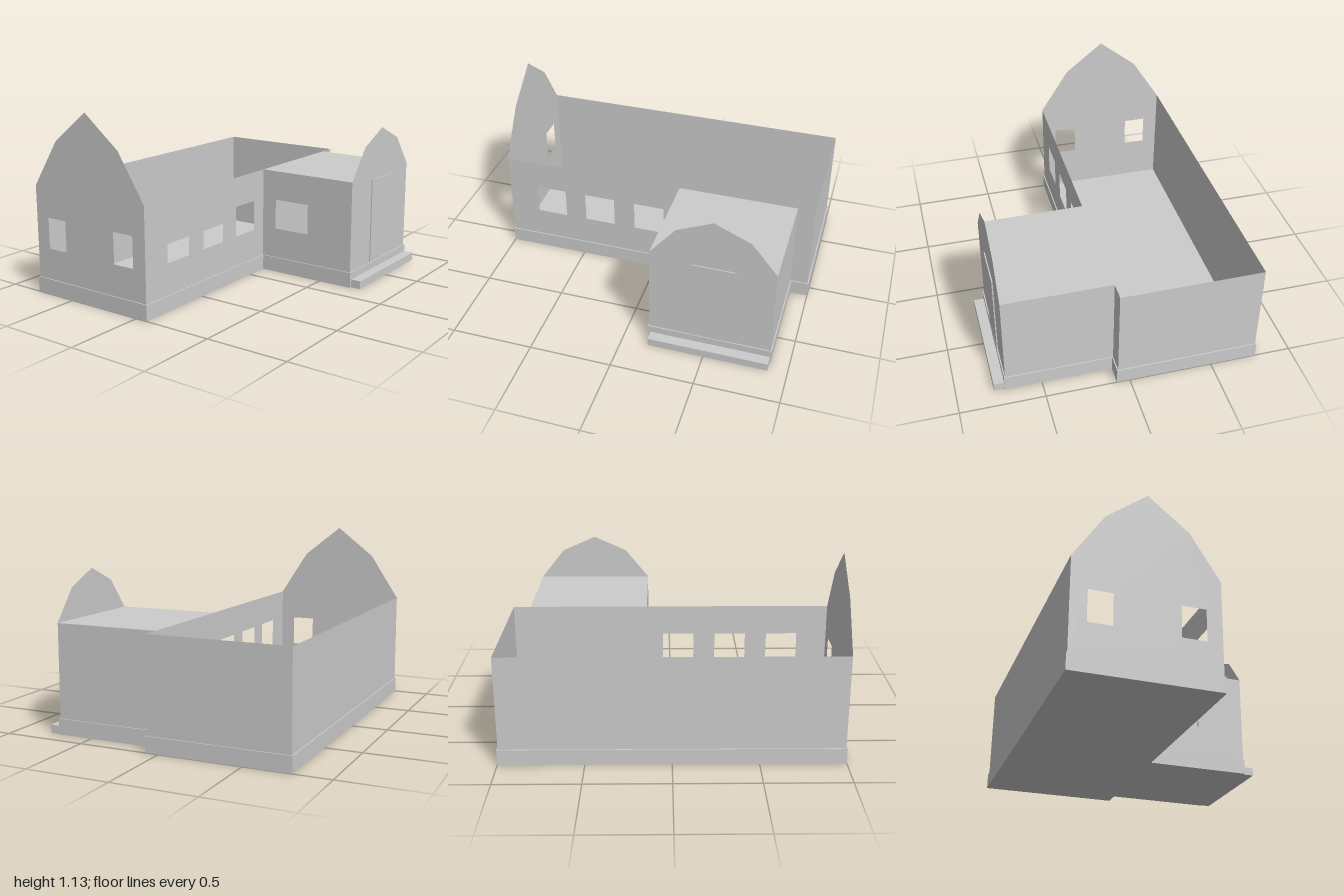
import * as THREE from 'three';

const BASE = 0.095, EAVES = 0.66;
const material = new THREE.MeshStandardMaterial({ color: 0xcccccc, flatShading: true, side: THREE.DoubleSide });

const toShape = (pts) => new THREE.Shape(pts.map(([a, b]) => new THREE.Vector2(a, b)));

export function createModel() {
  const group = new THREE.Group();
  group.name = 'roofless house';

  const add = (name, geometry) => {
    const mesh = new THREE.Mesh(geometry, material);
    mesh.name = name;
    group.add(mesh);
    return mesh;
  };

  // Thin upright wall from a to b, optional gable points (from b back to a) and window openings [a0, a1]
  const wall = (name, a, b, { gable = [], windows = [], x, z }) => {
    const shape = toShape([[a, BASE], [b, BASE], [b, EAVES], ...gable, [a, EAVES]]);
    for (const [w0, w1] of windows) {
      shape.holes.push(toShape([[w0, 0.285], [w0, 0.475], [w1, 0.475], [w1, 0.285]]));
    }
    const geometry = new THREE.ShapeGeometry(shape);
    if (x !== undefined) geometry.rotateY(-Math.PI / 2).translate(x, 0, 0);
    else geometry.translate(0, 0, z);
    return add(name, geometry);
  };

  // Horizontal slab standing on y = 0 from a plan outline in x, z
  const slab = (name, shape, height) =>
    add(name, new THREE.ExtrudeGeometry(shape, { depth: height, bevelEnabled: false })
      .rotateX(Math.PI / 2).translate(0, height, 0));

  // L-shaped plan, grown outwards by d
  const plan = (d) => [
    [-0.775 - d, -0.993 - d], [0.071 + d, -0.993 - d], [0.071 + d, -0.885 - d], [0.713 + d, -0.885 - d],
    [0.713 + d, -0.152 + d], [0.071 + d, -0.152 + d], [0.071 + d, 0.993 + d], [-0.775 - d, 0.993 + d],
  ];

  // Foundation: floor and plinth ring
  slab('floor', toShape(plan(0)), 0.005);
  const ring = toShape(plan(0.007));
  ring.holes.push(toShape(plan(0)));
  slab('plinth', ring, BASE);

  // Main hall, open at the top
  wall('hallFrontWall', -0.775, 0.071, {
    z: 0.993,
    gable: [[-0.11, 0.94], [-0.352, 1.13], [-0.592, 0.94]],
    windows: [[-0.68, -0.54], [-0.163, -0.02]],
  });
  wall('hallBackWall', -0.775, 0.071, { z: -0.993 });
  wall('hallRightWall', -0.993, 0.993, { x: -0.775 });
  wall('hallLeftWall', -0.993, 0.993, {
    x: 0.071,
    windows: [[0.61, 0.805], [0.28, 0.475], [-0.05, 0.145]],
  });

  // Side wing with a flat ceiling and an end gable
  wall('wingFrontWall', 0.071, 0.713, { z: -0.152, windows: [[0.167, 0.405]] });
  wall('wingBackWall', 0.071, 0.713, { z: -0.885 });
  wall('wingGableWall', -0.885, -0.152, {
    x: 0.713,
    gable: [[-0.305, 0.85], [-0.518, 0.945], [-0.733, 0.85]],
  });
  add('wingCeiling', new THREE.PlaneGeometry(0.642, 0.733)
    .rotateX(-Math.PI / 2).translate(0.392, EAVES, -0.5185));

  // Door and entrance step
  add('door', new THREE.BoxGeometry(0.012, 0.53, 0.258).translate(0.714, 0.365, -0.529));
  add('doorStep', new THREE.BoxGeometry(0.062, 0.05, 0.725).translate(0.751, 0.025, -0.5225));

  return group;
}
